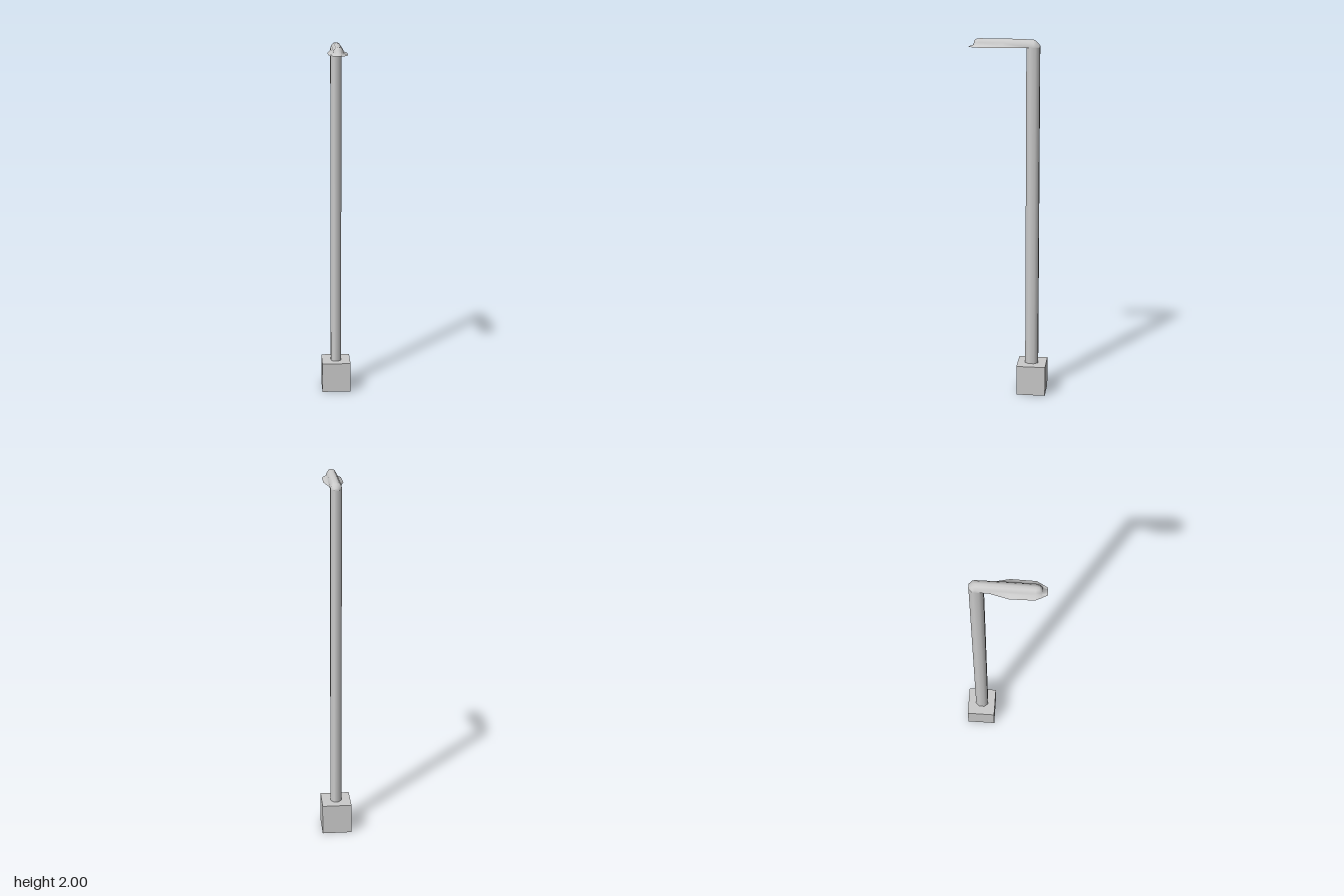
import * as THREE from 'three';

const grey = new THREE.MeshStandardMaterial({ color: 0xcccccc, side: THREE.DoubleSide });
const POLE_Z = -0.132, UNDER = 1.955;

function add(group, name, geometry, x = 0, y = 0, z = 0) {
  const mesh = new THREE.Mesh(geometry, grey);
  mesh.name = name;
  mesh.position.set(x, y, z);
  group.add(mesh);
  return mesh;
}

// Skin over rows of [x, y, z] points of equal length
function loft(rows) {
  const n = rows[0].length, index = [];
  for (let i = 0; i < rows.length - 1; i++) {
    for (let j = 0; j < n - 1; j++) {
      const a = i * n + j, b = a + 1, c = a + n, d = c + 1;
      index.push(a, c, b, b, c, d);
    }
  }
  const g = new THREE.BufferGeometry();
  g.setAttribute('position', new THREE.Float32BufferAttribute(rows.flat(2), 3));
  g.setIndex(index);
  g.computeVertexNormals();
  return g;
}

// Bell-shaped cross-section: w = half width of the skirt, d = of the dome
function section([z, w, d, top]) {
  const h = top - UNDER;
  const half = [[w, 0], [d, 0.2], [d * 0.87, 0.55], [d * 0.5, 0.9]];
  const right = half.map(([x, f]) => [x, UNDER + f * h, z]);
  const left = right.map(([x, y]) => [-x, y, z]);
  return [...left, [0, top, z], ...right.reverse()];
}

// Mirrored outline in x and z, from half widths along z
function outline(pairs) {
  const right = pairs.map(([z, x]) => new THREE.Vector2(x, z));
  const left = pairs.map(([z, x]) => new THREE.Vector2(-x, z)).reverse();
  return [...right, ...left];
}

export function createModel() {
  const model = new THREE.Group();
  model.name = 'streetLamp';

  // Square footing
  add(model, 'base', new THREE.BoxGeometry(0.162, 0.17, 0.162), 0, 0.085, -0.134);

  // Octagonal pole, slightly deeper than wide
  const pole = new THREE.CylinderGeometry(1, 1, 1.79, 8, 1, true);
  pole.rotateY(Math.PI / 8);
  pole.scale(0.0322, 1, 0.039);
  add(model, 'pole', pole, 0, 1.065, POLE_Z);

  // Elbow, arm and lamp hood in one skin: [z, skirt, dome, top]
  const stations = [
    [-0.169, 0.014, 0.014, 1.966], [-0.15, 0.03, 0.03, 1.988],
    [-0.135, 0.03, 0.03, 1.996], [-0.07, 0.03, 0.03, 1.999],
    [0.03, 0.053, 0.031, 2], [0.155, 0.051, 0.03, 2],
    [0.172, 0.042, 0.025, 1.998], [0.185, 0.036, 0.018, 1.988],
    [0.188, 0.034, 0.016, 1.966], [0.213, 0.02, 0.012, 1.957],
  ];
  const rows = stations.map(section);
  const back = rows[0].map(([x, , z]) => [x, UNDER, z]);
  const front = rows[rows.length - 1].map(([x, , z]) => [x, UNDER, z]);
  add(model, 'lampHood', loft([back, ...rows, front]));

  // Flat underside with the lamp opening
  const hole = outline([[0.04, 0.022], [0.06, 0.037], [0.15, 0.037], [0.193, 0.014]]);
  const plate = new THREE.Shape(outline(stations.map(([z, w]) => [z, w])));
  plate.holes.push(new THREE.Path(hole));
  add(model, 'underside', new THREE.ShapeGeometry(plate).rotateX(Math.PI / 2), 0, UNDER, 0);

  // Recess narrowing upward into the hood, closed at its top
  const ring = (s, y) => [...hole, hole[0]].map((p) => [p.x * s, y, 0.115 + (p.y - 0.115) * s]);
  const recess = [ring(1, UNDER), ring(0.62, 1.974), ring(0, 1.974)];
  add(model, 'lampRecess', loft(recess));

  // Elongated lens
  const lens = new THREE.SphereGeometry(1, 12, 8).scale(0.016, 0.011, 0.042);
  add(model, 'lens', lens, 0, 1.973, 0.115);

  return model;
}
